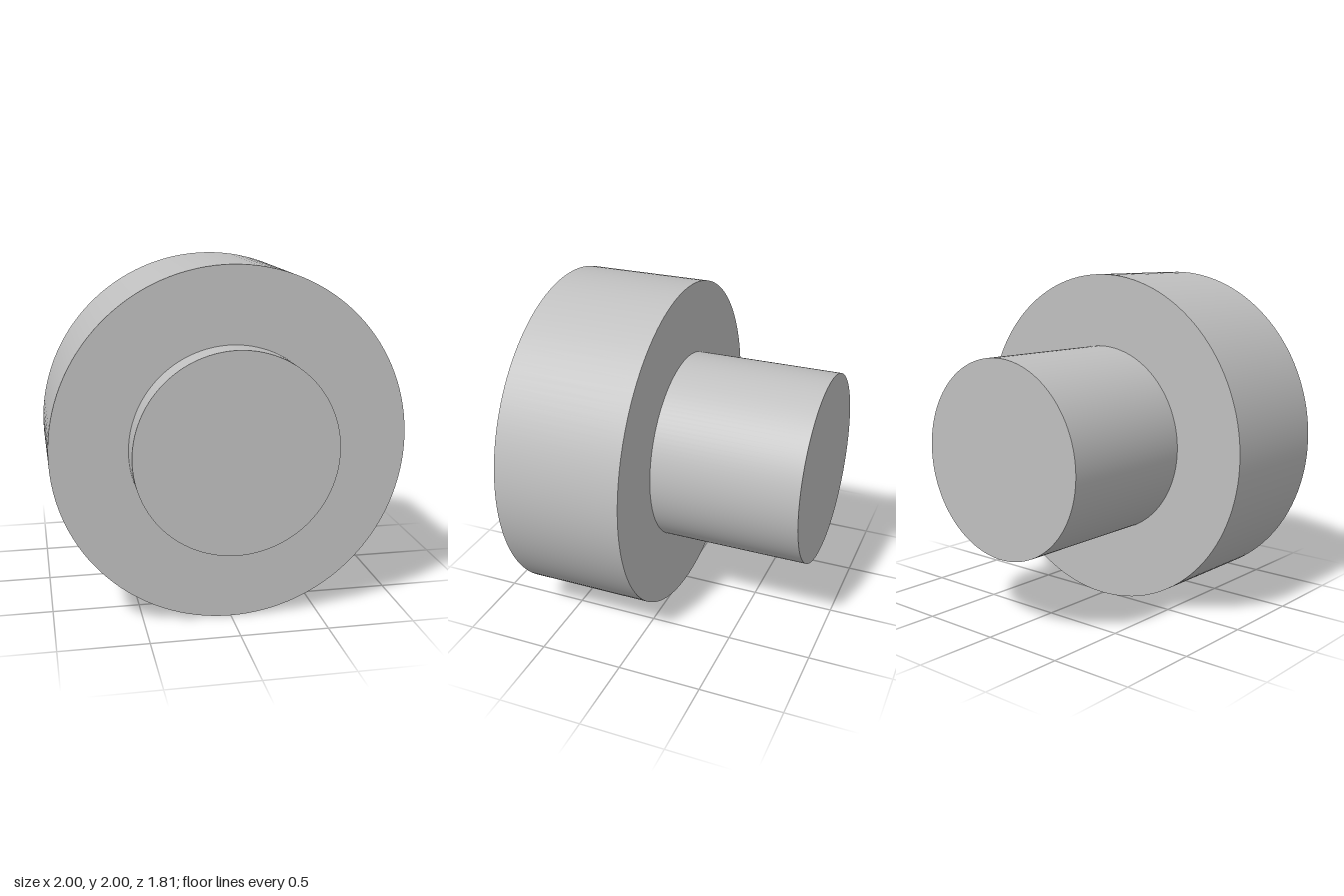
import * as THREE from 'three';

export function createModel() {
  const group = new THREE.Group();
  const grey = new THREE.MeshStandardMaterial({ color: 0xc0c0c0 });
  grey.name = 'light grey';

  // Solid disc along z between two depths, centred at y = 1
  function addDisc(name, radius, zBack, zFront) {
    const geometry = new THREE.CylinderGeometry(radius, radius, zFront - zBack, 128);
    geometry.rotateX(Math.PI / 2);
    const mesh = new THREE.Mesh(geometry, grey);
    mesh.name = name;
    mesh.position.set(0, 1, (zBack + zFront) / 2);
    group.add(mesh);
  }

  addDisc('shaft', 0.57, -0.903, 0.903); // runs right through the collar
  addDisc('collar', 1, -0.022, 0.738);   // wide ring, nearer the front

  return group;
}
